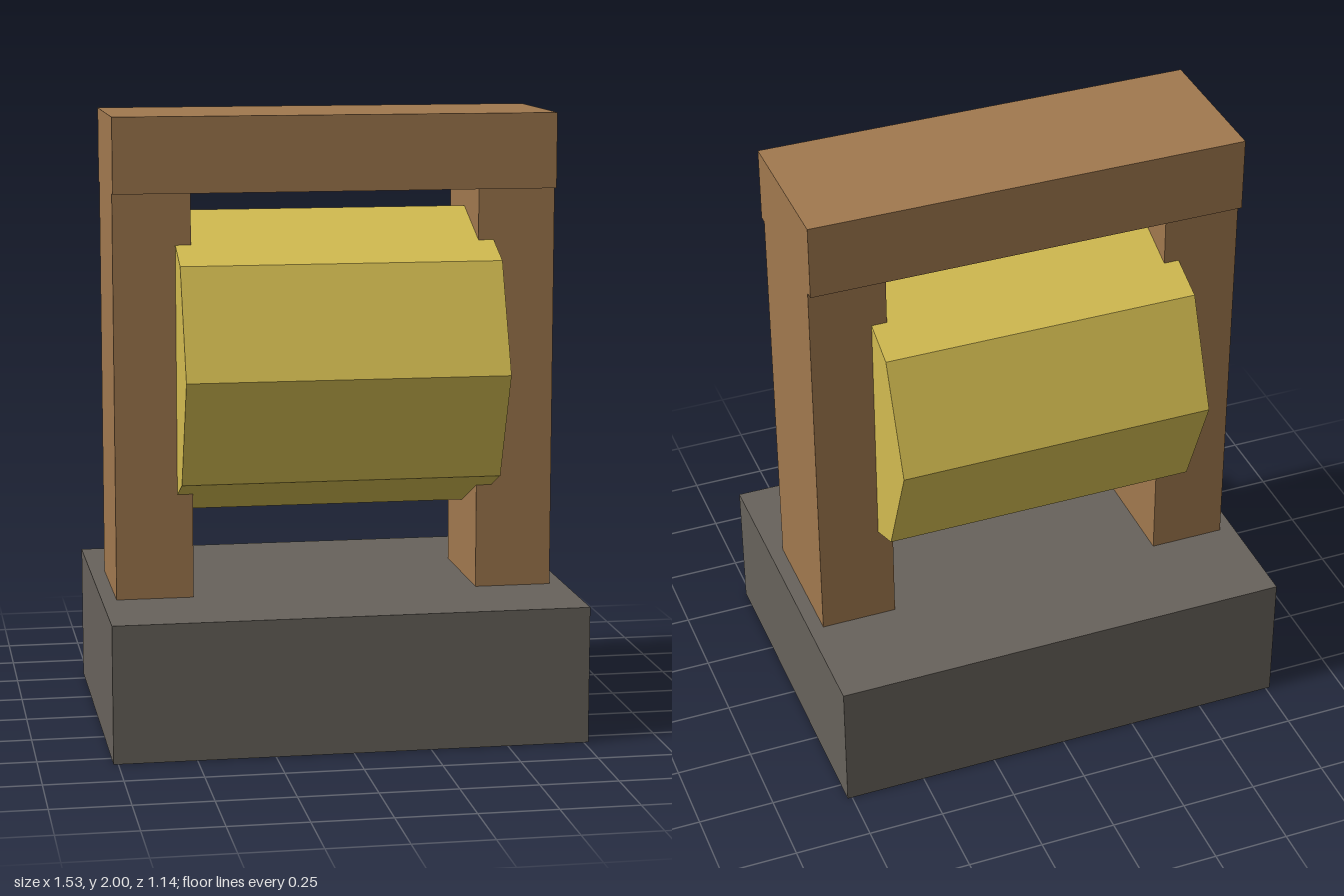
import * as THREE from 'three';

const material = (color) => new THREE.MeshStandardMaterial({ color, flatShading: true });

export function createModel() {
  const group = new THREE.Group();
  const stone = material(0x67625b);
  const wood = material(0xa0784e);
  const gold = material(0xd2bb50);

  const add = (name, geometry, mat, x, y) => {
    const mesh = new THREE.Mesh(geometry, mat);
    mesh.name = name;
    mesh.position.set(x, y, 0);
    group.add(mesh);
    return mesh;
  };

  // Stone plinth
  add('base', new THREE.BoxGeometry(1.53, 0.445, 1.14), stone, 0, 0.2225);

  // Wooden frame: two posts and a slightly deeper crossbeam
  for (const [name, side] of [['leftPost', 1], ['rightPost', -1]]) {
    add(name, new THREE.BoxGeometry(0.25, 1.315, 0.44), wood, side * 0.592, 1.1025);
  }
  add('crossbeam', new THREE.BoxGeometry(1.434, 0.243, 0.494), wood, 0, 1.8785);

  // Eight-sided drum lying between the posts, its ends sunk into them
  const drum = new THREE.CylinderGeometry(0.494, 0.494, 1.034, 8);
  drum.rotateZ(Math.PI / 2);
  add('drum', drum, gold, 0, 1.188);

  return group;
}
